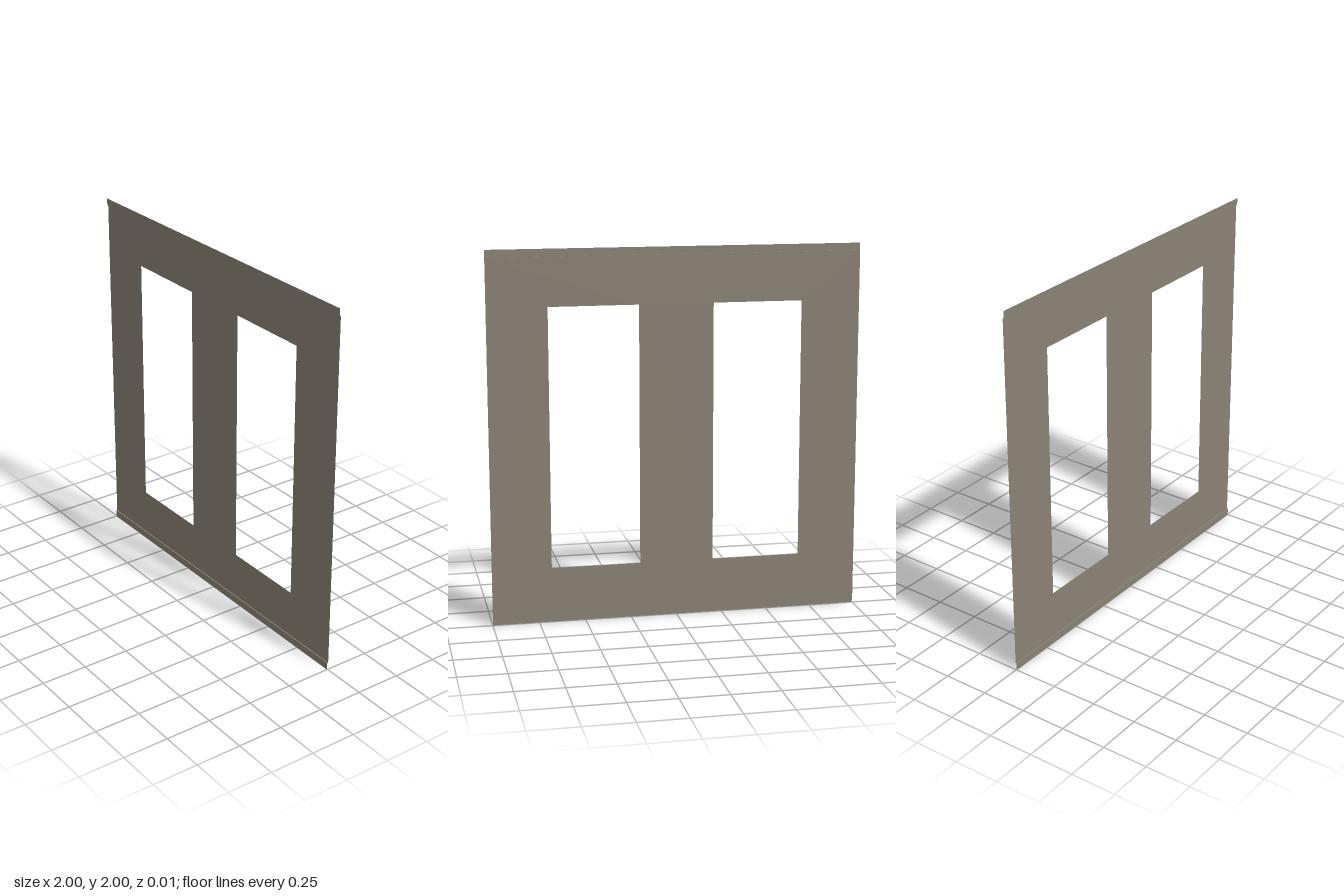
import * as THREE from 'three';

const OFFSET = 0.003; // half the depth of the step in the sheet
const LIP = 0.04;     // height of the edge strips

export function createModel() {
  const group = new THREE.Group();
  const material = new THREE.MeshStandardMaterial({ color: 0x8a8275, side: THREE.DoubleSide });

  const add = (name, geometry, y, z) => {
    const mesh = new THREE.Mesh(geometry, material);
    mesh.name = name;
    mesh.position.set(0, y, z);
    group.add(mesh);
  };

  // Rectangle outline given by its corners
  const rect = (path, x0, y0, x1, y1) =>
    path.moveTo(x0, y0).lineTo(x1, y0).lineTo(x1, y1).lineTo(x0, y1).closePath();

  // Main sheet with two tall openings
  const sheet = rect(new THREE.Shape(), -1, LIP, 1, 2 - LIP);
  for (const x of [-0.68, 0.2]) {
    sheet.holes.push(rect(new THREE.Path(), x, 0.3, x + 0.48, 1.7));
  }
  add('panelSheet', new THREE.ShapeGeometry(sheet), 0, -OFFSET);

  // Strips along top and bottom, stepped forward from the sheet by narrow ledges
  for (const [name, stripY, ledgeY] of [['bottom', LIP / 2, LIP], ['top', 2 - LIP / 2, 2 - LIP]]) {
    add(name + 'Strip', new THREE.PlaneGeometry(2, LIP), stripY, OFFSET);
    add(name + 'Ledge', new THREE.PlaneGeometry(2, 2 * OFFSET).rotateX(-Math.PI / 2), ledgeY, 0);
  }
  return group;
}
